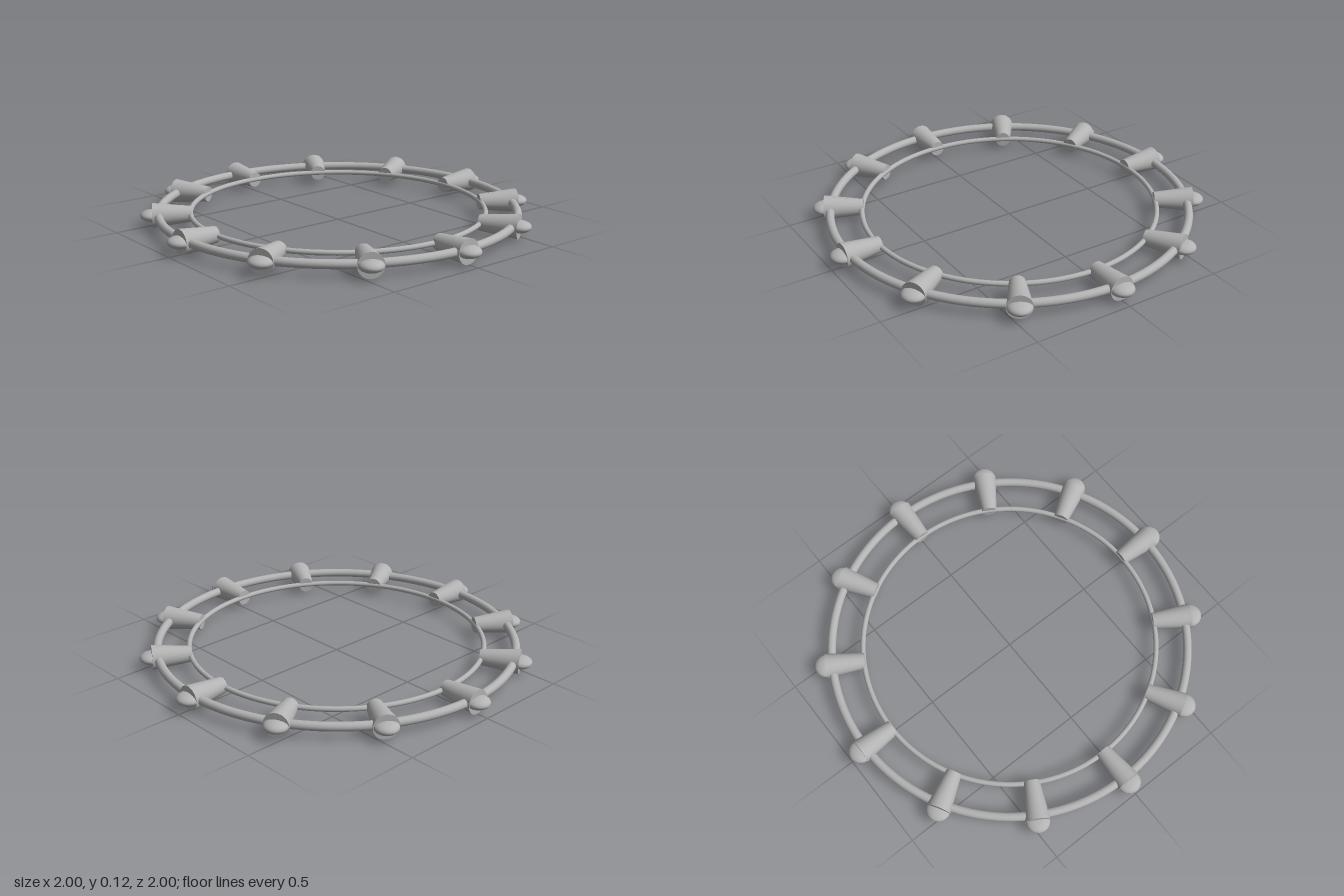
import * as THREE from 'three';

const MID = 0.0625; // height of the ring plane

export function createModel() {
  const model = new THREE.Group();
  const metal = new THREE.MeshStandardMaterial({ color: 0xb3b3b3 });
  metal.name = 'light grey';

  const add = (parent, name, geometry) => {
    const mesh = new THREE.Mesh(geometry, metal);
    mesh.name = name;
    parent.add(mesh);
    return mesh;
  };

  // Two concentric rings lying flat
  const ring = (name, radius, tube) =>
    add(model, name, new THREE.TorusGeometry(radius, tube, 20, 128).rotateX(Math.PI / 2)).position.y = MID;
  ring('outerRing', 0.91, 0.022);
  ring('innerRing', 0.75, 0.013);

  // Tapered peg pointing outward along +x, wide at the rim
  const pegGeometry = new THREE.CylinderGeometry(0.04, 0.0625, 0.197, 32)
    .rotateZ(Math.PI / 2)
    .translate(0.8415, 0, 0);
  // Flattened knob set into the wide end of the peg
  const knobGeometry = new THREE.SphereGeometry(0.06, 32, 20)
    .scale(1, 0.5, 1)
    .translate(0.94, 0, 0);

  // Twelve spokes around the rings
  for (let i = 0; i < 12; i++) {
    const spoke = new THREE.Group();
    spoke.name = `spoke${i + 1}`;
    spoke.position.y = MID;
    spoke.rotation.y = (i * Math.PI) / 6;
    add(spoke, 'peg', pegGeometry);
    add(spoke, 'knob', knobGeometry);
    model.add(spoke);
  }
  return model;
}
